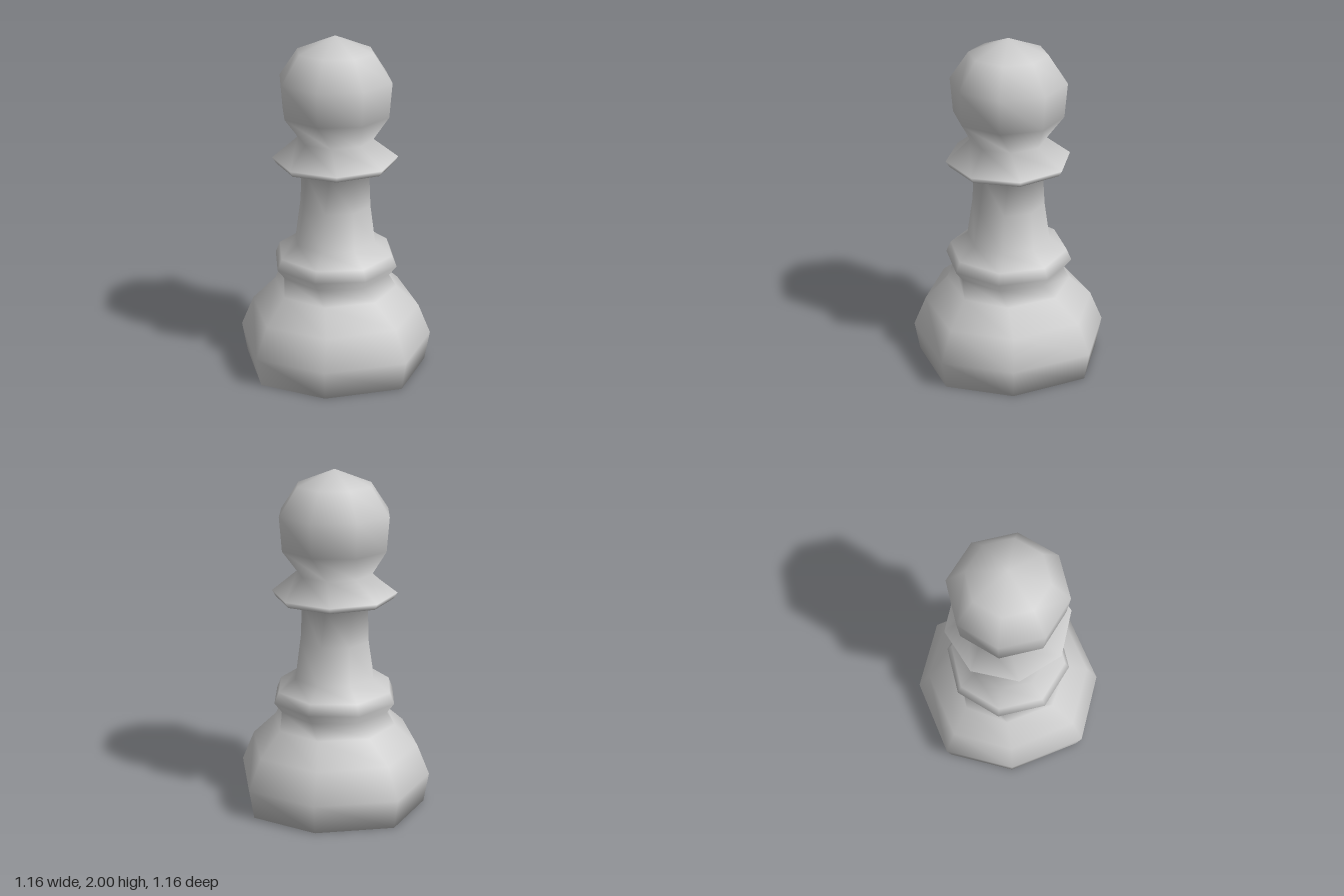
import * as THREE from 'three';

const SIDES = 8;

// Rings from foot to head: [height, radius, twist in degrees, stretch of every other corner]
const RINGS = [
  // bulging foot
  [0.0, 0.55, -0.5, 1.06],
  [0.18, 0.58, -0.5, 1.06],
  [0.36, 0.505, -0.5, 1.05],
  [0.49, 0.37, -4, 1.02],
  // lower ring
  [0.58, 0.335, -12, 1],
  [0.64, 0.38, -12, 1],
  [0.705, 0.352, -12, 1],
  // neck
  [0.775, 0.248, -12, 1],
  [1.0, 0.214, -10, 1],
  [1.21, 0.2, -4, 1],
  // collar
  [1.25, 0.345, 7, 1],
  [1.285, 0.366, 7, 1],
  [1.4, 0.222, 0, 1],
  // head
  [1.55, 0.32, -12, 1],
  [1.75, 0.336, -12, 1],
  [1.91, 0.226, -12, 1],
];

function createBodyGeometry() {
  const positions = [];
  const index = [];
  for (const [y, radius, twist, stretch] of RINGS) {
    for (let j = 0; j < SIDES; j++) {
      const odd = j % 2 === 1;
      const skew = odd && stretch > 1 ? 2.8 : 0;
      const angle = THREE.MathUtils.degToRad(twist + skew + (j * 360) / SIDES);
      const r = odd ? radius * stretch : radius;
      positions.push(r * Math.sin(angle), y, r * Math.cos(angle));
    }
  }
  // walls between neighbouring rings
  for (let i = 0; i < RINGS.length - 1; i++) {
    for (let j = 0; j < SIDES; j++) {
      const a = i * SIDES + j;
      const b = i * SIDES + ((j + 1) % SIDES);
      index.push(a, b, a + SIDES, b, b + SIDES, a + SIDES);
    }
  }
  // pointed crown
  const apex = positions.length / 3;
  positions.push(0, 2, 0);
  const last = (RINGS.length - 1) * SIDES;
  for (let j = 0; j < SIDES; j++) index.push(last + j, last + ((j + 1) % SIDES), apex);
  // underside, open at one corner
  for (let k = 1; k < SIDES - 2; k++) index.push(0, k + 1, k);

  const geometry = new THREE.BufferGeometry();
  geometry.setAttribute('position', new THREE.Float32BufferAttribute(positions, 3));
  geometry.setIndex(index);
  geometry.computeVertexNormals();
  return geometry;
}

export function createModel() {
  const group = new THREE.Group();
  group.name = 'chessPawn';
  const grey = new THREE.MeshStandardMaterial({ color: 0xcccccc, side: THREE.DoubleSide });
  grey.name = 'light grey';
  const body = new THREE.Mesh(createBodyGeometry(), grey);
  body.name = 'pawnBody';
  group.add(body);
  return group;
}
